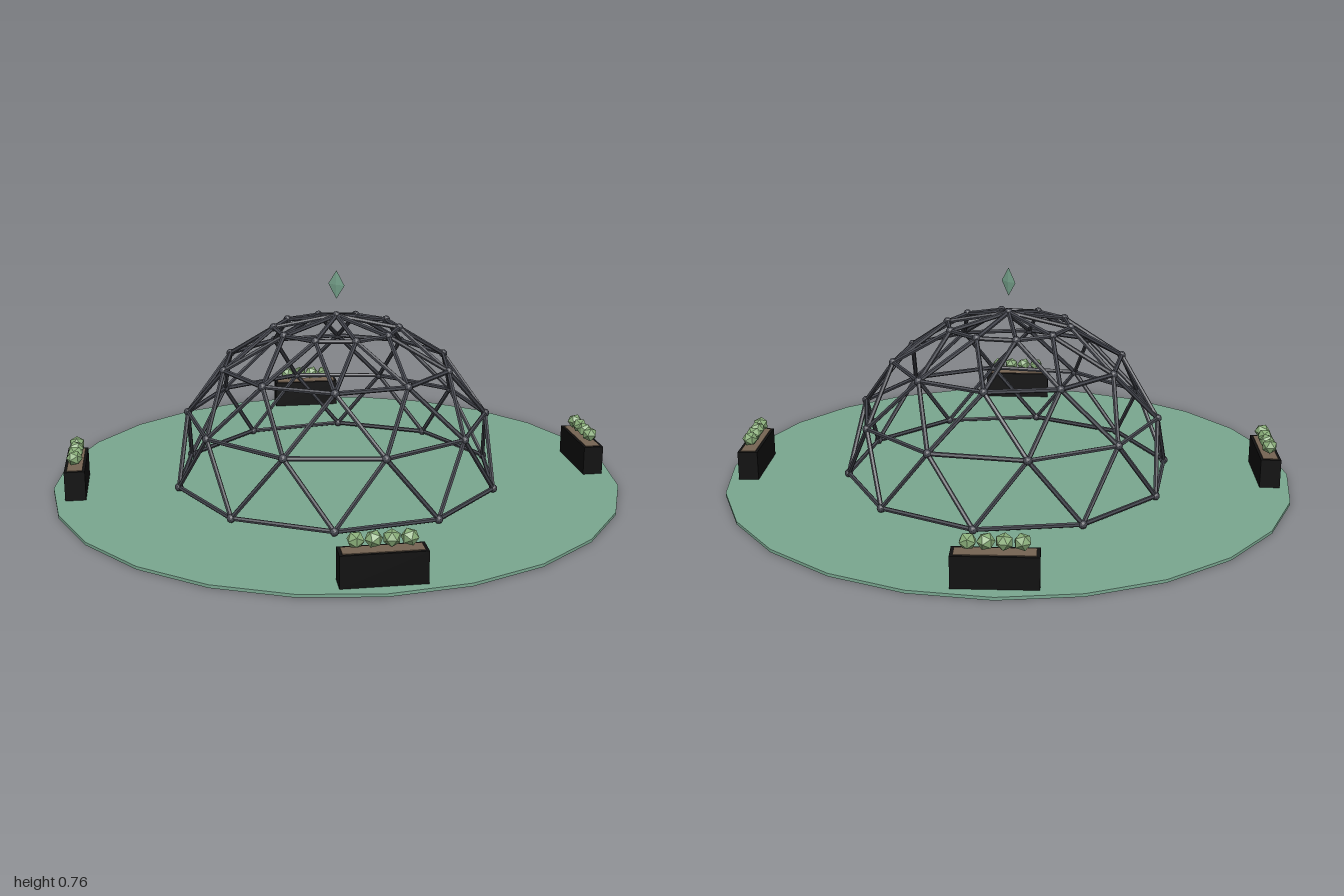
import * as THREE from 'three';

const material = (name, color, flatShading = true) => {
  const m = new THREE.MeshStandardMaterial({ color, flatShading });
  m.name = name;
  return m;
};

export function createModel() {
  const sage = material('sage green', 0x7aa790);
  const steel = material('dark steel', 0x45474f);
  const black = material('planter black', 0x101010);
  const soil = material('soil brown', 0x766453);
  const leaf = material('leaf green', 0x88ac78);

  const model = new THREE.Group();
  model.name = 'domePavilion';
  const add = (parent, name, geometry, mat, x = 0, y = 0, z = 0) => {
    const mesh = new THREE.Mesh(geometry, mat);
    mesh.name = name;
    mesh.position.set(x, y, z);
    parent.add(mesh);
    return mesh;
  };

  // Round ground slab
  add(model, 'groundSlab', new THREE.CylinderGeometry(1, 1, 0.01, 24), sage, 0, 0.005, 0);

  // Dome: four staggered rings of ten nodes and an apex
  const dome = new THREE.Group();
  dome.name = 'dome';
  model.add(dome);
  const R = 0.573, baseY = 0.025, N = 10;
  const rings = [0, 1, 2, 3].map(k => Array.from({ length: N }, (_, i) => {
    const lat = k * Math.PI / 8;
    const lon = (i + (k % 2) / 2) * Math.PI * 2 / N;
    return new THREE.Vector3(
      R * Math.cos(lat) * Math.cos(lon), baseY + R * Math.sin(lat), R * Math.cos(lat) * Math.sin(lon));
  }));
  const apex = new THREE.Vector3(0, baseY + R, 0);

  const nodeGeometry = new THREE.IcosahedronGeometry(0.015, 1);
  const strutGeometry = new THREE.CylinderGeometry(0.008, 0.008, 1, 6);
  const up = new THREE.Vector3(0, 1, 0);
  const strut = (a, b) => {
    const dir = b.clone().sub(a);
    const mesh = add(dome, 'strut', strutGeometry, steel);
    mesh.position.copy(a).add(b).multiplyScalar(0.5);
    mesh.scale.y = dir.length();
    mesh.quaternion.setFromUnitVectors(up, dir.normalize());
  };

  rings.forEach((ring, k) => ring.forEach((p, i) => {
    add(dome, 'node', nodeGeometry, steel, p.x, p.y, p.z);
    strut(p, ring[(i + 1) % N]);
    if (k === 3) {
      strut(p, apex);
      return;
    }
    // Two diagonals to the neighbours on the ring above
    const shift = k % 2 ? 1 : -1;
    strut(p, rings[k + 1][i]);
    strut(p, rings[k + 1][(i + shift + N) % N]);
  }));
  add(dome, 'apexNode', nodeGeometry, steel, apex.x, apex.y, apex.z);

  // Flat diamond finial floating above the apex
  const finial = add(model, 'finial', new THREE.OctahedronGeometry(1), sage, 0, 0.707, 0);
  finial.scale.set(0.004, 0.05, 0.035);

  // Four planters set tangentially on the diagonals
  const boxGeometry = new THREE.BoxGeometry(0.262, 0.102, 0.07);
  const soilGeometry = new THREE.BoxGeometry(0.242, 0.006, 0.052);
  const plantGeometry = new THREE.IcosahedronGeometry(0.028, 0);
  for (let q = 0; q < 4; q++) {
    const angle = Math.PI / 4 + q * Math.PI / 2;
    const planter = new THREE.Group();
    planter.name = 'planter';
    planter.position.set(0.917 * Math.sin(angle), 0, 0.917 * Math.cos(angle));
    planter.rotation.y = angle;
    model.add(planter);
    add(planter, 'planterBox', boxGeometry, black, 0, 0.061, 0);
    add(planter, 'soil', soilGeometry, soil, 0, 0.111, 0);
    for (let i = 0; i < 4; i++) {
      const plant = add(planter, 'plant', plantGeometry, leaf, (i - 1.5) * 0.053, 0.145, 0);
      plant.rotation.y = i * 0.7;
      plant.scale.y = 0.95;
    }
  }
  return model;
}
